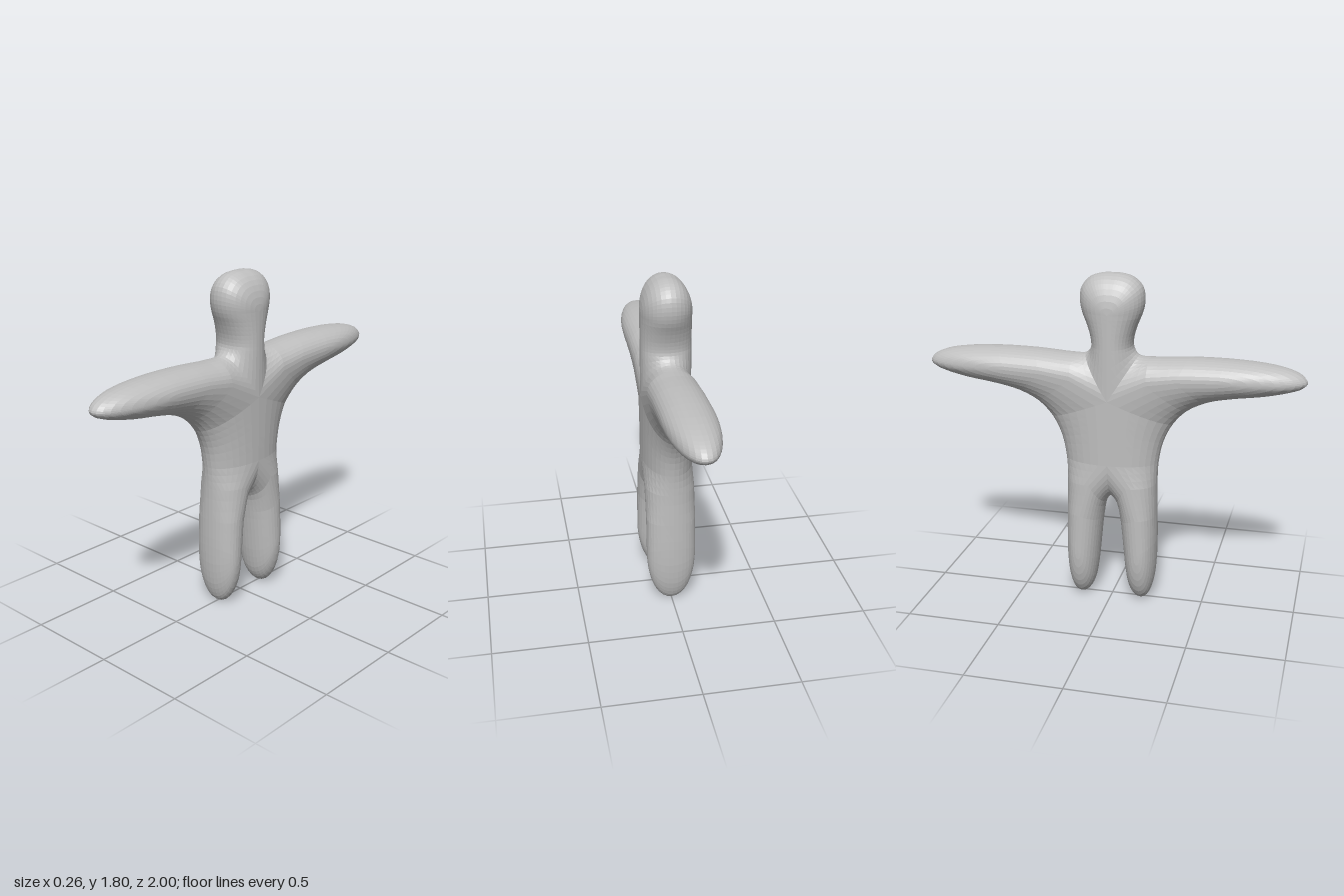
import * as THREE from 'three';

const HALF_DEPTH = 0.132;
const STEPS = 3;   // subdivisions between outline stations
const RINGS = 18;  // segments from the back face round the edge to the front face

// Points on the inner axis of the figure, as [z, y]
const hip = [0, 0.8], thigh = [0.1, 0.68], knee = [0.15, 0.5], shin = [0.163, 0.3];
const belly = [0, 1.0], chest = [0, 1.15];
const shoulder = [0.2, 1.25], elbow = [0.35, 1.275], forearm = [0.55, 1.285];
const neck = [0, 1.4], nape = [0, 1.46], jaw = [0, 1.53], skull = [0, 1.6];

// Outline of one half: edge z, edge y, and the axis point it is rounded towards
const half = [
  // inner leg, foot, outer leg
  [0, 0.595, hip], [0.03, 0.56, thigh], [0.05, 0.46, knee], [0.065, 0.32, shin],
  [0.08, 0.17, shin], [0.1, 0.07, shin], [0.13, 0.018, shin], [0.165, 0, shin],
  [0.2, 0.02, shin], [0.228, 0.09, shin], [0.243, 0.2, shin], [0.247, 0.35, shin],
  [0.245, 0.5, knee], [0.243, 0.68, thigh],
  // flank and underarm
  [0.25, 0.8, hip], [0.275, 0.92, belly], [0.325, 1.02, chest], [0.4, 1.098, shoulder],
  [0.5, 1.15, elbow], [0.62, 1.18, forearm], [0.8, 1.207, forearm],
  // hand and top of the arm
  [0.93, 1.238, forearm], [0.985, 1.262, forearm], [1, 1.285, forearm],
  [0.98, 1.315, forearm], [0.92, 1.345, forearm], [0.8, 1.368, forearm],
  [0.6, 1.38, forearm], [0.4, 1.378, elbow], [0.2, 1.367, shoulder],
  // neck and head
  [0.14, 1.375, chest], [0.11, 1.41, neck], [0.11, 1.46, nape], [0.13, 1.53, jaw],
  [0.158, 1.6, skull], [0.168, 1.665, skull], [0.155, 1.73, skull],
  [0.11, 1.775, skull], [0.05, 1.793, skull], [0, 1.795, skull],
];

function bodyGeometry() {
  // Mirror the half outline into one closed loop
  const mirrored = half.slice(1, -1).reverse().map(([z, y, a]) => [-z, y, [-a[0], a[1]]]);
  const loop = [...half, ...mirrored];
  const edge = new THREE.CatmullRomCurve3(
    loop.map(([z, y]) => new THREE.Vector3(0, y, z)), true, 'centripetal');
  const axis = loop.map(([, , a]) => new THREE.Vector3(0, a[1], a[0]));

  const count = loop.length * STEPS;
  const row = RINGS + 1;
  const positions = [];
  const indices = [];
  for (let i = 0; i < count; i++) {
    const k = Math.floor(i / STEPS);
    const rim = edge.getPoint(i / count);
    const core = axis[k].clone().lerp(axis[(k + 1) % loop.length], (i % STEPS) / STEPS);
    for (let j = 0; j <= RINGS; j++) {
      // Slightly squared half ellipse from back, round the rim, to front
      const angle = (j / RINGS - 0.5) * Math.PI;
      const s = Math.sin(angle);
      const out = Math.pow(Math.max(0, Math.cos(angle)), 0.95);
      const p = core.clone().lerp(rim, out);
      positions.push(HALF_DEPTH * Math.sign(s) * Math.pow(Math.abs(s), 0.95), p.y, p.z);
      if (j < RINGS) {
        const a = i * row + j;
        const b = ((i + 1) % count) * row + j;
        indices.push(a, a + 1, b, a + 1, b + 1, b);
      }
    }
  }
  const geometry = new THREE.BufferGeometry();
  geometry.setAttribute('position', new THREE.Float32BufferAttribute(positions, 3));
  geometry.setIndex(indices);
  geometry.computeVertexNormals();
  return geometry;
}

export function createModel() {
  const group = new THREE.Group();
  group.name = 'figure';
  const grey = new THREE.MeshStandardMaterial({ color: 0xbfbfbf, flatShading: true });
  grey.name = 'plain grey';

  const body = new THREE.Mesh(bodyGeometry(), grey);
  body.name = 'body';
  group.add(body);
  return group;
}
